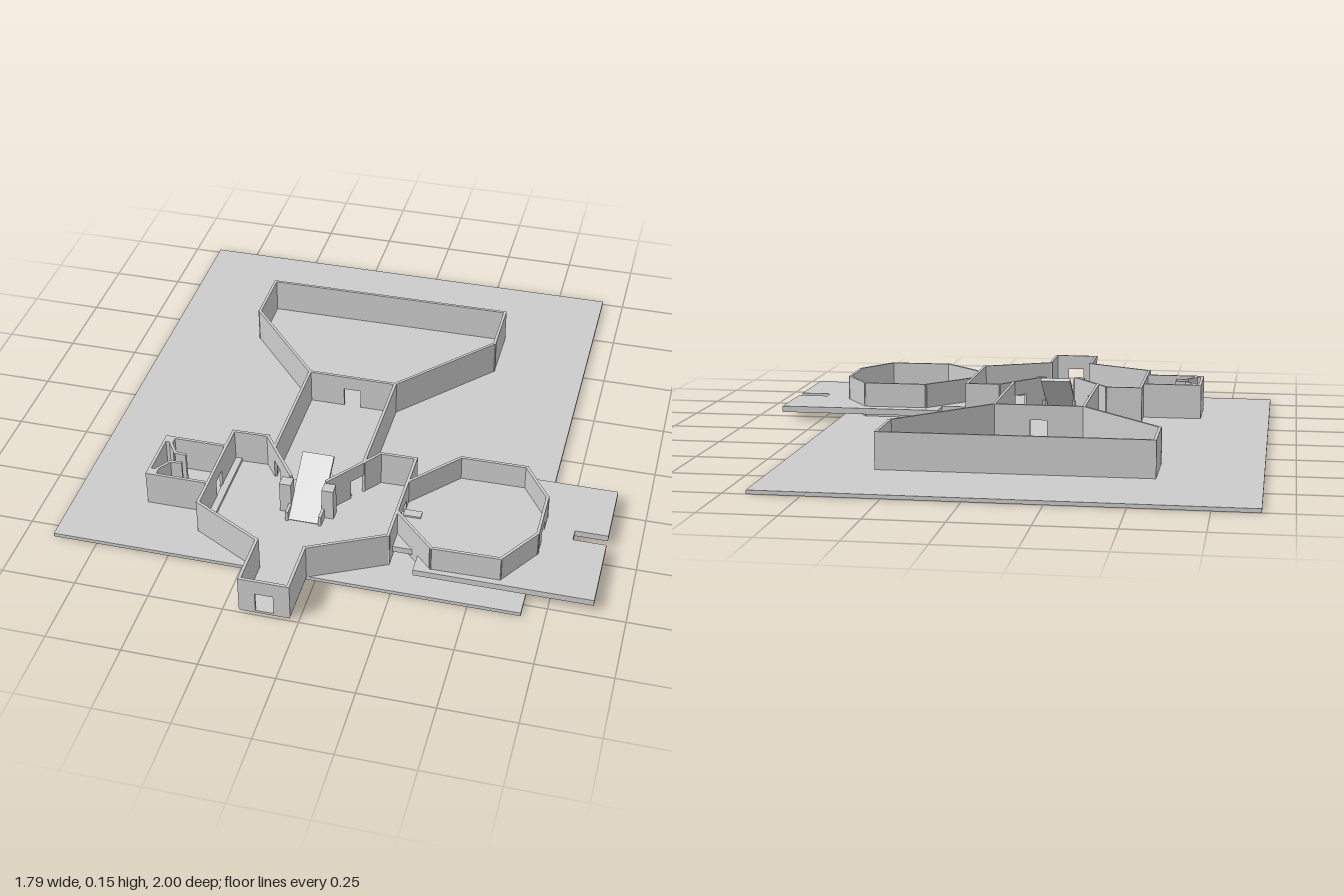
import * as THREE from 'three';

const T = 0.01;        // wall thickness
const FLOOR = 0.013;   // top of the base slab
const TOP = 0.138;     // top of the walls
const DOOR_W = 0.06, DOOR_TOP = 0.085;

export function createModel() {
  const model = new THREE.Group();
  model.name = 'floorPlanModel';
  const mat = new THREE.MeshStandardMaterial({ color: 0xcccccc, flatShading: true });

  // box given by its min and max on each axis
  function block(name, x0, x1, y0, y1, z0, z1, parent = model) {
    const m = new THREE.Mesh(new THREE.BoxGeometry(x1 - x0, y1 - y0, z1 - z0), mat);
    m.position.set((x0 + x1) / 2, (y0 + y1) / 2, (z0 + z1) / 2);
    m.name = name;
    parent.add(m);
    return m;
  }

  // straight wall from a to b, with an optional doorway centred at fraction "door"
  function wall(name, a, b, door) {
    const dx = b[0] - a[0], dz = b[1] - a[1], len = Math.hypot(dx, dz), e = T / 2;
    const g = new THREE.Group();
    g.name = name;
    g.position.set(a[0], 0, a[1]);
    g.rotation.y = Math.atan2(-dz, dx);
    if (door === undefined) {
      block(name + 'Panel', -e, len + e, FLOOR, TOP, -e, e, g);
    } else {
      const d0 = len * door - DOOR_W / 2, d1 = d0 + DOOR_W;
      block(name + 'Before', -e, d0, FLOOR, TOP, -e, e, g);
      block(name + 'After', d1, len + e, FLOOR, TOP, -e, e, g);
      block(name + 'Lintel', d0, d1, DOOR_TOP, TOP, -e, e, g);
    }
    model.add(g);
  }

  // chain of walls; doors maps a segment index to a doorway position
  function walls(name, pts, doors = {}) {
    for (let i = 0; i < pts.length - 1; i++) wall(name, pts[i], pts[i + 1], doors[i]);
  }

  // horizontal plate from an outline in x and z
  function plate(name, pts, y0, y1) {
    const shape = new THREE.Shape(pts.map(([x, z]) => new THREE.Vector2(x, -z)));
    const geo = new THREE.ExtrudeGeometry(shape, { depth: y1 - y0, bevelEnabled: false });
    geo.rotateX(-Math.PI / 2);
    const m = new THREE.Mesh(geo, mat);
    m.position.y = y0;
    m.name = name;
    model.add(m);
  }

  // base slab and the entrance floor that overhangs it
  block('baseSlab', -0.9, 0.673, 0, FLOOR, -1, 0.803);
  block('entranceFloor', -0.195, -0.03, 0.006, 0.015, 0.79, 0.995);

  // large rear hall
  walls('hallWall', [[-0.27, -0.115], [-0.557, -0.442], [-0.557, -0.65],
    [0.342, -0.655], [0.342, -0.447], [0.045, -0.115]]);

  // corridor, divided from the hall by a doorway
  wall('hallDoorWall', [-0.27, -0.115], [0.045, -0.115], 0.5);
  wall('corridorWall', [-0.27, -0.115], [-0.27, 0.33]);
  wall('corridorWall', [0.045, -0.115], [0.045, 0.34]);

  // central room with slanted doorway walls towards the corridor
  walls('roomLeftWall', [[-0.175, 0.465], [-0.31, 0.28], [-0.433, 0.283],
    [-0.433, 0.672], [-0.192, 0.803]], { 0: 0.55, 2: 0.48 });
  walls('roomRightWall', [[-0.05, 0.465], [0.09, 0.28], [0.212, 0.278],
    [0.212, 0.68], [-0.033, 0.803]], { 0: 0.55, 2: 0.48 });

  // entrance porch
  walls('porchWall', [[-0.192, 0.803], [-0.192, 0.99], [-0.033, 0.99], [-0.033, 0.803]], { 1: 0.5 });

  // raised room floor and side steps
  plate('roomFloor', [[-0.105, 0.265], [0.012, 0.375], [-0.05, 0.46],
    [-0.165, 0.46], [-0.222, 0.368]], FLOOR - 0.002, FLOOR + 0.004);
  block('leftStep', -0.43, -0.405, FLOOR, 0.025, 0.285, 0.67);
  block('rightStep', 0.185, 0.21, FLOOR, 0.025, 0.285, 0.67);

  // ramp: sloping slab with posts and side rails
  const run = 0.2, rise = 0.135;
  const ramp = new THREE.Mesh(new THREE.BoxGeometry(0.11, 0.012, Math.hypot(run, rise)), mat);
  ramp.name = 'ramp';
  ramp.position.set(-0.11, 0.08, 0.448);
  ramp.rotation.x = Math.atan2(rise, run);
  model.add(ramp);
  for (const s of [-1, 1]) {
    const px = -0.11 + s * 0.073;
    block('rampPost', px - 0.02, px + 0.02, FLOOR, 0.13, 0.47, 0.51);
    const rx = -0.11 + s * 0.057;
    block('rampRail', rx - 0.005, rx + 0.005, FLOOR, 0.05, 0.45, 0.555);
  }

  // left annex with corner posts and a funnel niche
  walls('annexWall', [[-0.433, 0.368], [-0.645, 0.368], [-0.645, 0.57], [-0.433, 0.57]]);
  for (const s of [-1, 1]) {
    const z = d => 0.469 + s * d;
    const zc = z(0.087);
    block('annexPost', -0.645, -0.615, FLOOR, TOP, zc - 0.013, zc + 0.013);
    walls('nicheWall', [[-0.62, z(0.07)], [-0.59, z(0.025)], [-0.555, z(0.022)]]);
  }

  // raised platform with a link to the room and a notch in its outer edge
  plate('platform', [[0.215, 0.27], [0.305, 0.27], [0.305, 0.183], [0.893, 0.183],
    [0.893, 0.415], [0.782, 0.415], [0.782, 0.46], [0.893, 0.46], [0.893, 0.73],
    [0.305, 0.73], [0.305, 0.635], [0.215, 0.635]], 0.028, 0.05);
  block('doorStrip', 0.215, 0.275, 0.045, 0.056, 0.45, 0.48);

  // many-sided enclosure on the platform
  walls('enclosureWall', [[0.215, 0.4], [0.36, 0.235], [0.585, 0.233], [0.678, 0.37],
    [0.678, 0.555], [0.585, 0.703], [0.36, 0.707], [0.215, 0.56]], { 3: 0.5 });

  return model;
}
